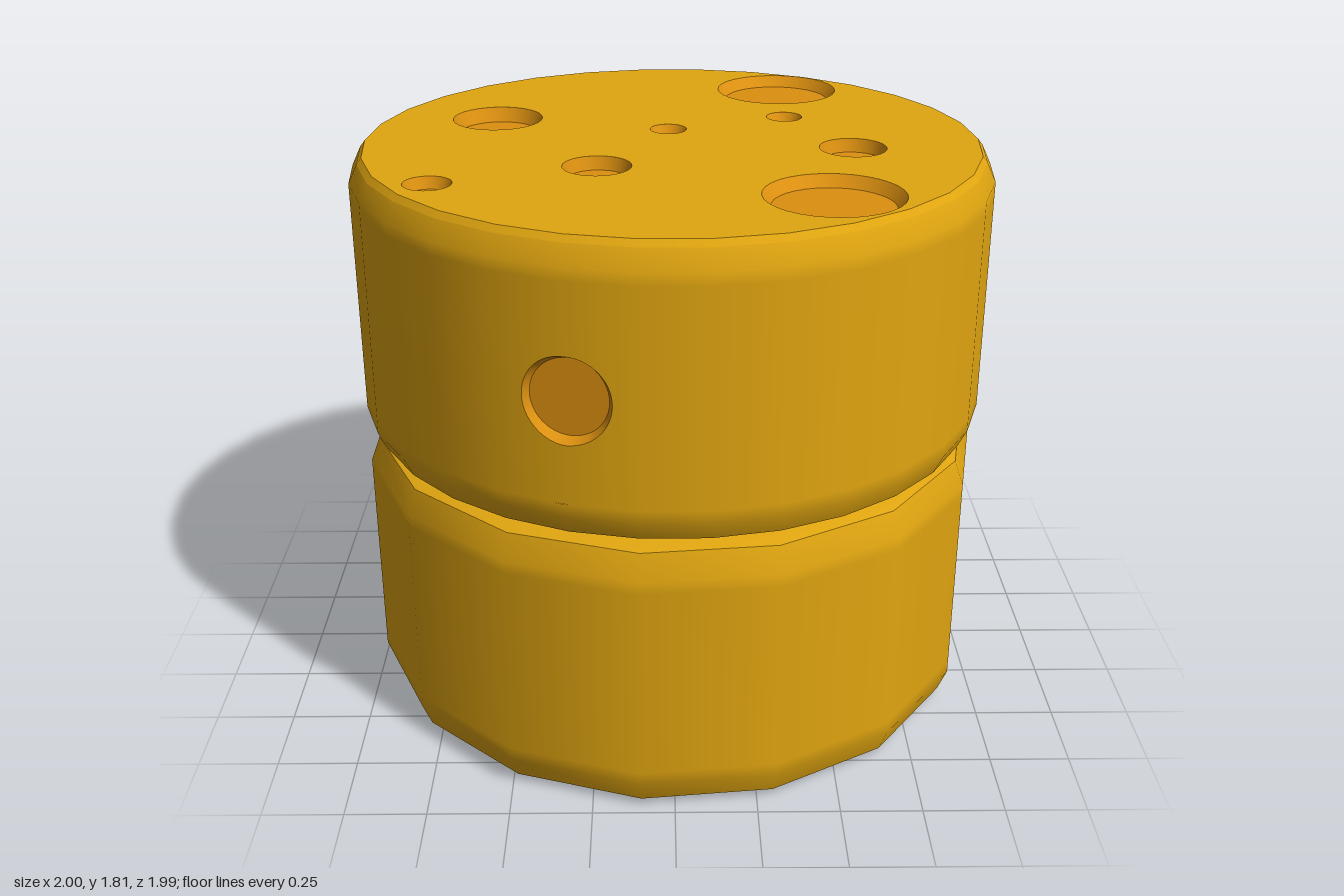
import * as THREE from 'three';
import { mergeGeometries } from 'three/addons/utils/BufferGeometryUtils.js';

const rad = THREE.MathUtils.degToRad;
const V = (x, y) => new THREE.Vector2(x, y);

// Lathe band; azimuth runs from +x towards +z, in degrees
function band(profile, sides, from = 0, to = 360) {
  const segs = Math.round((to - from) / (360 / sides));
  const g = new THREE.LatheGeometry(profile.map(p => V(...p)), segs, rad(90 - to), rad(to - from));
  g.deleteAttribute('uv');
  g.normalizeNormals();
  return g;
}

// Closed rings of points, joined from the innermost outwards
function loft(rings) {
  const n = rings[0].length, index = [];
  for (let k = 0; k < rings.length - 1; k++) {
    for (let i = 0; i < n; i++) {
      const j = (i + 1) % n, a = k * n, b = a + n;
      index.push(a + i, b + i, b + j, a + i, b + j, a + j);
    }
  }
  const g = new THREE.BufferGeometry().setFromPoints(rings.flat());
  g.setIndex(index);
  g.computeVertexNormals();
  return g;
}

// Point on the 30-sided wall at an azimuth
const STEP = rad(12);
function wallPoint(a, y) {
  const m = ((a % STEP) + STEP) % STEP - STEP / 2;
  const r = Math.cos(STEP / 2) / Math.cos(m);
  return new THREE.Vector3(r * Math.cos(a), y, r * Math.sin(a));
}

const circle = n => Array.from({ length: n }, (_, i) => (i / n) * Math.PI * 2);

// Pit made of a sloping wall and a flat floor
function pit(angles, rimPoint, floorPoint, ratio) {
  const rim = angles.map(rimPoint);
  const edge = angles.map(f => floorPoint(f, ratio));
  const mid = angles.map(f => floorPoint(f, 0));
  return mergeGeometries([loft([edge, rim]), loft([mid, edge])]);
}

export function createModel() {
  const group = new THREE.Group();
  const rind = new THREE.MeshStandardMaterial({ color: 0xe0a510 });
  rind.name = 'golden rind';
  const inner = new THREE.MeshStandardMaterial({ color: 0xdc9010 });
  inner.name = 'orange hole';
  const add = (name, geo, mat) => {
    const m = new THREE.Mesh(geo, mat);
    m.name = name;
    group.add(m);
  };

  // Lower wheel, 15 sides
  add('lowerWheel', mergeGeometries([
    [[0, 0], [0.88, 0], [0.905, 0], [0.97, 0.025]],
    [[0.97, 0.025], [1, 0.1], [1, 0.14]],
    [[1, 0.14], [1, 0.76]],
    [[1, 0.76], [1, 0.8], [0.97, 0.88]],
    [[0.97, 0.88], [0.905, 0.901], [0.88, 0.901], [0, 0.901]],
  ].map(p => band(p, 15))), rind);

  // Upper wheel, 30 sides: edges
  const LOW = 1.03, HIGH = 1.69, TOP = 1.807;
  const upper = [
    [[0, 0.909], [0.88, 0.909], [0.905, 0.909], [0.97, 0.928]],
    [[0.97, 0.928], [1, 0.99], [1, LOW]],
    [[1, HIGH], [1, 1.73], [0.972, 1.788]],
    [[0.972, 1.788], [0.957, TOP]],
  ].map(p => band(p, 30));

  // Plain stretches of wall between the side holes
  upper.push(band([[1, LOW], [1, HIGH]], 30, -12, 96));
  upper.push(band([[1, LOW], [1, HIGH]], 30, 120, 300));

  // Side holes: azimuth, panel limits, height, radius, floor distance from axis
  const sideHoles = [
    { az: 107.4, from: 96, to: 120, y: 1.345, r: 0.132, floor: 0.965 },
    { az: -37.5, from: -60, to: -12, y: 1.35, r: 0.23, floor: 0.95 },
  ];
  const pits = [];
  for (const { az, from, to, y, r, floor } of sideHoles) {
    const a0 = rad(az), left = rad(az - to), right = rad(az - from);
    const down = LOW - y, up = HIGH - y;
    const corners = [[right, up], [left, up], [left, down], [right, down]]
      .map(([s, v]) => (Math.atan2(v, s) + Math.PI * 2) % (Math.PI * 2));
    const angles = [...circle(48), ...corners].sort((p, q) => p - q);
    const rimUV = f => [Math.asin(r * Math.cos(f)), r * Math.sin(f)];
    const outerUV = f => {
      const c = Math.cos(f), s = Math.sin(f);
      const t = Math.min(Math.abs((c > 0 ? right : left) / c), Math.abs((s > 0 ? up : down) / s));
      return [t * c, t * s];
    };
    // Wall panel spreading from the hole rim to its rectangular border
    const rings = [0, 0.25, 0.5, 0.75, 1].map(t => angles.map(f => {
      const [a, b] = rimUV(f), [c, d] = outerUV(f);
      return wallPoint(a0 - (a + (c - a) * t), y + b + (d - b) * t);
    }));
    const panel = loft(rings);
    const p = panel.attributes.position, nrm = panel.attributes.normal;
    for (let i = 0; i < p.count; i++) {
      const len = Math.hypot(p.getX(i), p.getZ(i));
      nrm.setXYZ(i, p.getX(i) / len, 0, p.getZ(i) / len);
    }
    upper.push(panel);
    const ca = Math.cos(a0), sa = Math.sin(a0);
    pits.push(pit(angles,
      f => wallPoint(a0 - rimUV(f)[0], y + rimUV(f)[1]),
      (f, k) => {
        const u = r * k * Math.cos(f);
        return new THREE.Vector3(floor * ca + u * sa, y + r * k * Math.sin(f), floor * sa - u * ca);
      }, 0.88));
  }
  add('upperWheel', mergeGeometries(upper), rind);
  add('sideHoles', mergeGeometries(pits), inner);

  // Top face with round holes: x, z, radius, depth, floor ratio
  const topHoles = [
    [0.37, -0.65, 0.203, 0.035, 0.87], [0.45, 0.577, 0.205, 0.035, 0.87],
    [-0.565, -0.265, 0.145, 0.045, 0.86], [0.37, -0.275, 0.058, 0.03, 0.74],
    [-0.01, -0.127, 0.058, 0.03, 0.74], [0.555, 0.096, 0.104, 0.04, 0.87],
    [-0.225, 0.285, 0.104, 0.04, 0.87], [-0.705, 0.458, 0.072, 0.035, 0.8],
  ];
  const round = circle(32);
  const face = new THREE.Shape(circle(30).map(f => V(0.957 * Math.cos(f), 0.957 * Math.sin(f))));
  const topPits = topHoles.map(([x, z, r, depth, ratio]) => {
    face.holes.push(new THREE.Path(round.map(f => V(x + r * Math.cos(f), -z + r * Math.sin(f)))));
    const at = (f, k, y) => new THREE.Vector3(x + r * k * Math.cos(f), y, z - r * k * Math.sin(f));
    return pit(round, f => at(f, 1, TOP), (f, k) => at(f, k, TOP - depth), ratio);
  });
  add('topFace', new THREE.ShapeGeometry(face).rotateX(-Math.PI / 2).translate(0, TOP, 0), rind);
  add('topHoles', mergeGeometries(topPits), inner);

  return group;
}
